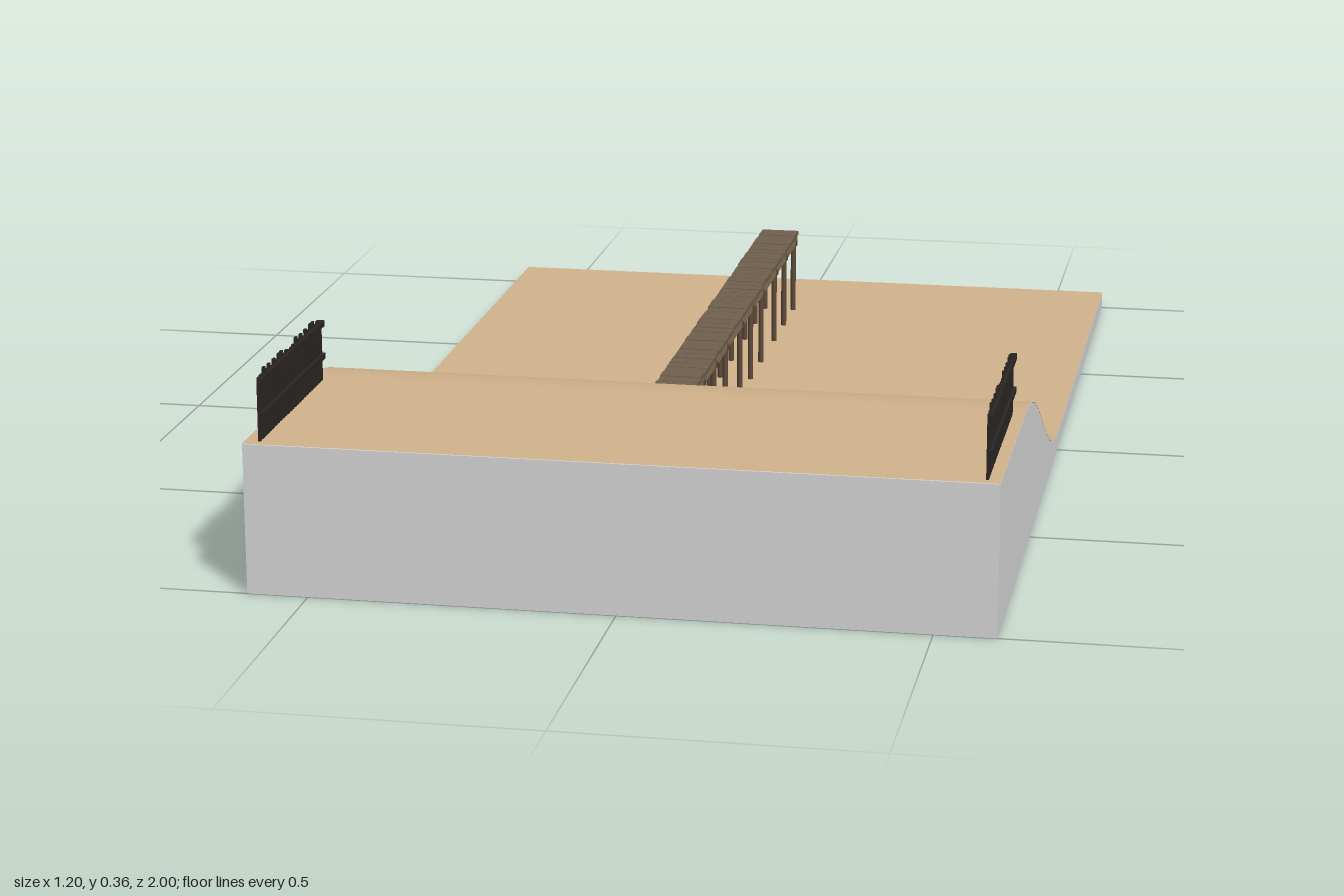
import * as THREE from 'three';

const mat = (name, color, side = THREE.FrontSide) => {
  const m = new THREE.MeshStandardMaterial({ color, side });
  m.name = name;
  return m;
};

// ground height: low beach at the back rising smoothly to a terrace in front
function groundHeight(z) {
  return 0.032 + 0.218 * THREE.MathUtils.smootherstep(z, -0.05, 0.65);
}

function seeded(seed) {
  let s = seed;
  return () => (s = (s * 16807) % 2147483647) / 2147483647;
}

export function createModel() {
  const model = new THREE.Group();
  model.name = 'beachPier';
  const sand = mat('sand', 0xd2b48c, THREE.DoubleSide);
  const stone = mat('baseGrey', 0xd8d8d8);
  const plankWood = mat('plankBrown', 0x70604f);
  const beamWood = mat('beamBrown', 0x8a7355);
  const postWood = mat('postBrown', 0x5e4c3c);
  const fenceWood = mat('fenceDark', 0x2a2624);

  const box = (parent, name, m, w, h, d, x, y, z) => {
    const mesh = new THREE.Mesh(new THREE.BoxGeometry(w, h, d), m);
    mesh.name = name;
    mesh.position.set(x, y, z);
    parent.add(mesh);
    return mesh;
  };

  // solid base, its outline extruded across the width
  const outline = new THREE.Shape();
  outline.moveTo(1, 0);
  outline.lineTo(1, groundHeight(1) - 0.001);
  for (let i = 0; i <= 48; i++) {
    const z = 0.65 - (0.7 * i) / 48;
    outline.lineTo(z, groundHeight(z) - 0.001);
  }
  outline.lineTo(-1, groundHeight(-1) - 0.001);
  outline.lineTo(-1, 0);
  const baseGeo = new THREE.ExtrudeGeometry(outline, { depth: 1.2, bevelEnabled: false });
  baseGeo.rotateY(-Math.PI / 2); // outline x becomes z
  baseGeo.translate(0.6, 0, 0);
  const base = new THREE.Mesh(baseGeo, stone);
  base.name = 'groundBase';
  model.add(base);

  // smooth sand surface
  const sandGeo = new THREE.PlaneGeometry(1.2, 2, 1, 140);
  sandGeo.rotateX(-Math.PI / 2);
  const p = sandGeo.attributes.position;
  for (let i = 0; i < p.count; i++) p.setY(i, groundHeight(p.getZ(i)));
  sandGeo.computeVertexNormals();
  const surface = new THREE.Mesh(sandGeo, sand);
  surface.name = 'sandSurface';
  model.add(surface);

  // pier: three equal sections of planks, beams and posts
  const rand = seeded(71);
  const pier = new THREE.Group();
  pier.name = 'pier';
  for (const middle of [0.295, -0.085, -0.465]) {
    const section = new THREE.Group();
    section.name = 'pierSection';
    section.position.z = middle;
    pier.add(section);
    const front = middle > 0.2 ? 0.215 : 0.19;
    const back = middle < -0.4 ? -0.135 : -0.19;
    const count = 14;
    const step = (front - back) / count;
    for (let i = 0; i < count; i++) {
      const plank = box(section, 'deckPlank', plankWood, 0.069 + rand() * 0.003, 0.007,
        step * 0.92, (rand() - 0.5) * 0.002, 0.2305 + rand() * 0.001, back + (i + 0.5) * step);
      plank.rotation.y = (rand() - 0.5) * 0.02;
    }
    for (const s of [-1, 1]) {
      box(section, 'sideBeam', beamWood, 0.007, 0.018, front - back,
        s * 0.029, 0.218, (front + back) / 2);
    }
    for (const z of [0.115, 0, -0.115]) {
      box(section, 'crossBeam', postWood, 0.07, 0.01, 0.01, 0, 0.214, z);
      for (const s of [-1, 1]) {
        const post = new THREE.Mesh(new THREE.CylinderGeometry(0.005, 0.005, 0.145, 8), postWood);
        post.name = 'pierPost';
        post.position.set(s * 0.028, 0.1525, z);
        section.add(post);
      }
    }
  }
  model.add(pier);

  // picket fences on both edges of the terrace, two panels each
  for (const x of [-0.576, 0.578]) {
    const fence = new THREE.Group();
    fence.name = x > 0 ? 'leftFence' : 'rightFence';
    fence.position.set(x, 0.25, 0);
    for (const middle of [0.716, 0.896]) {
      const r = seeded(19);
      for (let i = 0; i < 13; i++) {
        const h = 0.104 + r() * 0.011;
        const picket = box(fence, 'picket', fenceWood, 0.004, h, 0.0085,
          0, h / 2 - 0.001, middle - 0.084 + i * 0.014);
        picket.rotation.x = (r() - 0.5) * 0.03;
      }
      for (const y of [0.042, 0.098]) {
        box(fence, 'fenceRail', fenceWood, 0.006, 0.01, 0.178, 0.004, y, middle);
      }
    }
    model.add(fence);
  }
  return model;
}
